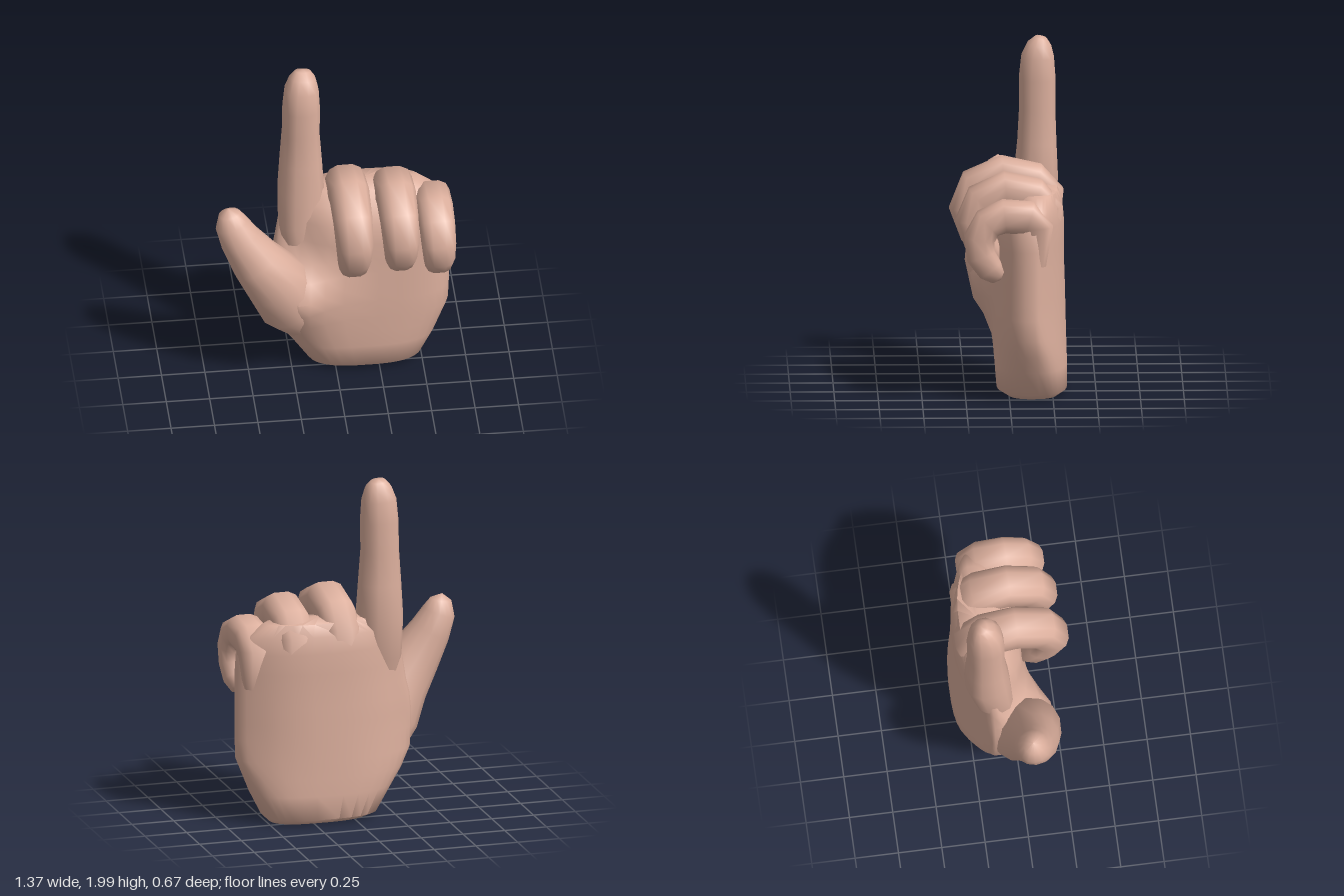
import * as THREE from 'three';
import { toCreasedNormals } from 'three/addons/utils/BufferGeometryUtils.js';

const skin = new THREE.MeshStandardMaterial({ color: 0xdcaf9d });

const X = new THREE.Vector3(1, 0, 0);
const Y = new THREE.Vector3(0, 1, 0);
const Z = new THREE.Vector3(0, 0, 1);

// Superellipse loft. Each ring is [x, y, z, half width along side, half depth].
// warp(point, centre) may move each vertex afterwards.
function loft(name, rings, { side, sides = 12, power = 2.4, tangent = null, warp = null, domeStart = 0, domeEnd = 0 }) {
  const centres = rings.map((r) => new THREE.Vector3(r[0], r[1], r[2]));
  const positions = [];
  const index = [];
  const last = rings.length - 1;
  const direction = (k) => tangent ? tangent.clone()
    : centres[Math.min(k + 1, last)].clone().sub(centres[Math.max(k - 1, 0)]).normalize();
  const squash = (v) => Math.sign(v) * Math.pow(Math.abs(v), 2 / power);

  rings.forEach((r, k) => {
    const t = direction(k);
    const v = t.clone().cross(side).normalize();
    const u = v.clone().cross(t);
    for (let i = 0; i < sides; i++) {
      const a = ((i + 0.5) / sides) * Math.PI * 2;
      const p = centres[k].clone()
        .addScaledVector(u, squash(Math.cos(a)) * r[3])
        .addScaledVector(v, squash(Math.sin(a)) * r[4]);
      if (warp) warp(p, centres[k]);
      positions.push(p.x, p.y, p.z);
    }
  });
  for (let k = 0; k < last; k++) {
    for (let i = 0; i < sides; i++) {
      const j = (i + 1) % sides;
      const a = k * sides + i, b = k * sides + j;
      index.push(a, b, a + sides, b, b + sides, a + sides);
    }
  }
  // Closing fans at both ends
  const start = positions.length / 3;
  const p0 = centres[0].clone().addScaledVector(direction(0), -domeStart);
  const p1 = centres[last].clone().addScaledVector(direction(last), domeEnd);
  positions.push(p0.x, p0.y, p0.z, p1.x, p1.y, p1.z);
  for (let i = 0; i < sides; i++) {
    const j = (i + 1) % sides;
    index.push(start, j, i, start + 1, last * sides + i, last * sides + j);
  }
  const geometry = new THREE.BufferGeometry();
  geometry.setAttribute('position', new THREE.Float32BufferAttribute(positions, 3));
  geometry.setIndex(index);
  const mesh = new THREE.Mesh(toCreasedNormals(geometry, 1.0), skin);
  mesh.name = name;
  return mesh;
}

// Palm surface: arched back, thumb mound in front, thin web below the index finger
function shapePalm(p, centre) {
  const front = THREE.MathUtils.clamp((p.z - centre.z) / 0.15, 0, 1);
  const back = THREE.MathUtils.clamp((centre.z - p.z) / 0.15, 0, 1);
  const rise = THREE.MathUtils.smoothstep(p.y, 0.04, 0.5);
  p.z += back * rise * 0.06 * Math.min(1.5, Math.pow((p.x - 0.17) / 0.42, 2));
  const dx = (p.x + 0.24) / 0.2;
  const dy = (p.y - 0.6) / (p.y > 0.6 ? 0.14 : 0.27);
  p.z += front * 0.17 * Math.exp(-dx * dx - dy * dy);
  const web = THREE.MathUtils.smoothstep(-p.x, 0.0, 0.32) * THREE.MathUtils.smoothstep(p.y, 0.7, 0.9);
  p.z -= front * web * 0.1;
}

// Palm levels: y, left and right x, back and front z
function palm() {
  const levels = [
    [0.01, -0.09, 0.48, -0.29, 0.02],
    [0.04, -0.16, 0.51, -0.335, 0.07],
    [0.18, -0.25, 0.58, -0.335, 0.08],
    [0.28, -0.32, 0.62, -0.333, 0.08],
    [0.38, -0.37, 0.66, -0.33, 0.08],
    [0.5, -0.38, 0.665, -0.328, 0.078],
    [0.6, -0.38, 0.665, -0.325, 0.075],
    [0.7, -0.37, 0.665, -0.323, 0.073],
    [0.78, -0.35, 0.665, -0.32, 0.07],
    [0.9, -0.33, 0.665, -0.32, 0.065],
    [1.02, -0.31, 0.66, -0.32, 0.05],
    [1.12, -0.27, 0.61, -0.31, -0.01],
    [1.19, -0.14, 0.5, -0.28, -0.07],
  ];
  const rings = levels.map(([y, x0, x1, z0, z1]) =>
    [(x0 + x1) / 2, y, (z0 + z1) / 2, (x1 - x0) / 2, (z1 - z0) / 2]);
  return loft('palm', rings, { side: X, sides: 32, power: 2.8, tangent: Y, warp: shapePalm, domeEnd: 0.02 });
}

// Curled finger: path points are [z, y, half width, half thickness]
function curledFinger(name, xBase, xTip, path) {
  const rings = path.map(([z, y, w, d], k) =>
    [THREE.MathUtils.lerp(xBase, xTip, k / (path.length - 1)), y, z, w, d]);
  return loft(name, rings, { side: X, power: 2.8, domeEnd: 0.02 });
}

export function createModel() {
  const hand = new THREE.Group();
  hand.name = 'pointingHand';
  hand.add(palm());

  // Thumb, its root sunk into the mound of the palm
  hand.add(loft('thumb', [
    [-0.08, 0.14, -0.12, 0.08, 0.1],
    [-0.16, 0.3, -0.07, 0.13, 0.13],
    [-0.28, 0.51, 0.02, 0.185, 0.18],
    [-0.35, 0.69, 0.065, 0.18, 0.185],
    [-0.465, 0.85, 0.07, 0.145, 0.15],
    [-0.555, 1.0, 0.057, 0.115, 0.118],
    [-0.603, 1.11, 0.047, 0.092, 0.095],
    [-0.615, 1.18, 0.045, 0.056, 0.062],
  ], { side: Z, sides: 14, power: 2.1, domeStart: 0.03, domeEnd: 0.035 }));

  // Extended index finger
  hand.add(loft('indexFinger', [
    [-0.17, 0.72, -0.1, 0.1, 0.09],
    [-0.185, 0.95, -0.135, 0.13, 0.115],
    [-0.18, 1.18, -0.165, 0.134, 0.13],
    [-0.18, 1.38, -0.17, 0.122, 0.115],
    [-0.18, 1.58, -0.172, 0.108, 0.106],
    [-0.177, 1.75, -0.172, 0.108, 0.108],
    [-0.174, 1.88, -0.175, 0.098, 0.096],
    [-0.168, 1.95, -0.185, 0.076, 0.07],
    [-0.165, 1.99, -0.195, 0.045, 0.035],
  ], { side: X, domeEnd: 0.01 }));

  // Three fingers folded down over the palm
  hand.add(curledFinger('middleFinger', 0.07, 0.095, [
    [-0.19, 0.88, 0.1, 0.1], [-0.21, 1.14, 0.114, 0.11], [-0.15, 1.19, 0.115, 0.115],
    [0.03, 1.235, 0.115, 0.115], [0.18, 1.17, 0.112, 0.115], [0.23, 1.05, 0.108, 0.11],
    [0.18, 0.91, 0.098, 0.1], [0.12, 0.82, 0.085, 0.085], [0.075, 0.765, 0.055, 0.05],
  ]));
  hand.add(curledFinger('ringFinger', 0.34, 0.365, [
    [-0.18, 0.86, 0.1, 0.1], [-0.205, 1.11, 0.114, 0.105], [-0.15, 1.16, 0.115, 0.11],
    [0.02, 1.2, 0.114, 0.112], [0.155, 1.14, 0.11, 0.11], [0.205, 1.03, 0.105, 0.105],
    [0.165, 0.91, 0.095, 0.095], [0.11, 0.83, 0.08, 0.08], [0.07, 0.785, 0.05, 0.048],
  ]));
  hand.add(curledFinger('littleFinger', 0.562, 0.585, [
    [-0.13, 0.82, 0.08, 0.08], [-0.16, 1.04, 0.1, 0.09], [-0.11, 1.085, 0.105, 0.098],
    [0.03, 1.1, 0.105, 0.095], [0.125, 1.06, 0.103, 0.09], [0.175, 0.97, 0.1, 0.09],
    [0.165, 0.87, 0.092, 0.085], [0.11, 0.79, 0.08, 0.075], [0.065, 0.745, 0.05, 0.045],
  ]));

  return hand;
}
